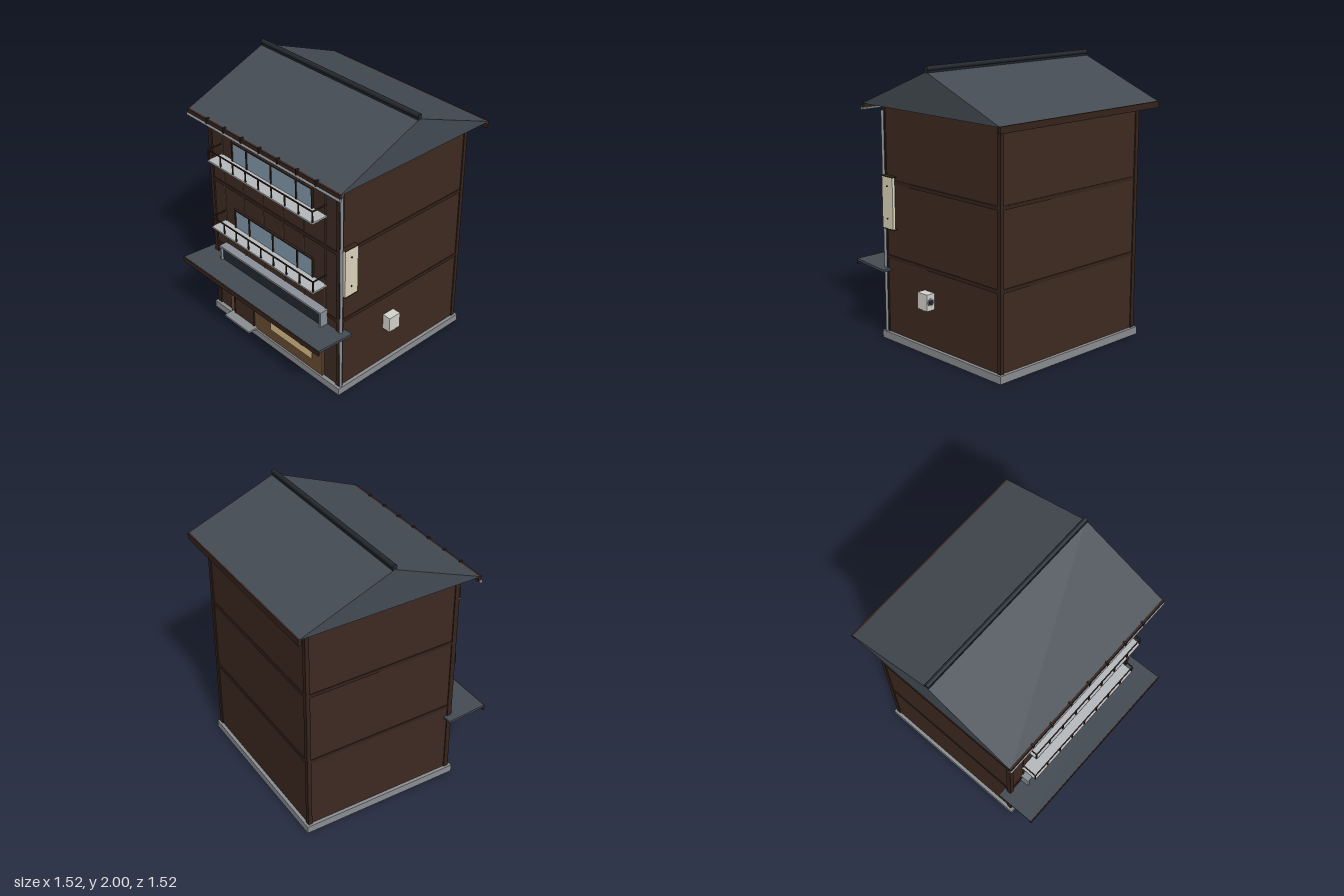
import * as THREE from 'three';

const mat = (color) => new THREE.MeshStandardMaterial({ color });
const M = {
  wall: mat(0x3e2a21), trim: mat(0x35231b), batten: mat(0x5a4030), panel: mat(0x664a30),
  slate: mat(0x444b53), dark: mat(0x23282e), stone: mat(0x8a8d90), metal: mat(0x8a9098),
  slab: mat(0xb4b8bc), glass: mat(0x8097a9), cream: mat(0xddd5bd), warm: mat(0xd8bd88),
  red: mat(0xb83226), black: mat(0x1c1a1a), white: mat(0xd4d2cc),
};

export function createModel() {
  const root = new THREE.Group();

  const add = (name, geo, material, parent = root) => {
    const m = new THREE.Mesh(geo, material);
    m.name = name;
    parent.add(m);
    return m;
  };
  // Box given by its extents on each axis
  const box = (name, material, [x0, x1], [y0, y1], [z0, z1], parent = root) => {
    const m = add(name, new THREE.BoxGeometry(x1 - x0, y1 - y0, z1 - z0), material, parent);
    m.position.set((x0 + x1) / 2, (y0 + y1) / 2, (z0 + z1) / 2);
    return m;
  };
  // Cylinder along an axis, centred on p
  const rod = (name, material, r, len, axis, p, parent = root, sides = 12) => {
    const m = add(name, new THREE.CylinderGeometry(r, r, len, sides), material, parent);
    if (axis === 'x') m.rotation.z = Math.PI / 2;
    if (axis === 'z') m.rotation.x = Math.PI / 2;
    m.position.set(...p);
    return m;
  };
  const group = (name) => {
    const g = new THREE.Group();
    g.name = name;
    root.add(g);
    return g;
  };

  // Plinth and main body
  box('plinth', M.stone, [-0.68, 0.68], [0, 0.055], [-0.68, 0.535]);
  box('body', M.wall, [-0.655, 0.655], [0.055, 1.69], [-0.655, 0.505]);

  // Corner posts and floor beams
  const frame = group('timberFrame');
  for (const s of [-1, 1]) {
    const x = s < 0 ? [-0.663, -0.63] : [0.63, 0.663];
    box('frontPost', M.trim, x, [0.055, 1.69], [0.48, 0.515], frame);
    box('backPost', M.trim, x, [0.055, 1.69], [-0.663, -0.633], frame);
  }
  for (const y of [0.597, 1.142]) {
    box('frontBeam', M.trim, [-0.63, 0.63], [y, y + 0.026], [0.5, 0.512], frame);
    box('backBeam', M.trim, [-0.63, 0.63], [y, y + 0.026], [-0.661, -0.65], frame);
    for (const s of [-1, 1]) {
      box('sideBeam', M.trim, s < 0 ? [-0.661, -0.65] : [0.65, 0.661], [y, y + 0.026], [-0.633, 0.48], frame);
    }
  }
  for (let i = 0; i < 6; i++) {
    const x = -0.518 + i * 0.207;
    box('batten', M.batten, [x - 0.004, x + 0.004], [0.62, 1.64], [0.5, 0.51], frame);
  }

  // Gabled roof, extruded along x from its end profile
  const gable = new THREE.Shape([
    new THREE.Vector2(-0.605, 1.69), new THREE.Vector2(0.76, 1.69), new THREE.Vector2(0.075, 1.963),
  ]);
  const roofGeo = new THREE.ExtrudeGeometry(gable, { depth: 1.51, bevelEnabled: false });
  roofGeo.rotateY(Math.PI / 2).translate(-0.755, 0, 0);
  add('roof', roofGeo, M.slate);
  rod('ridgePole', M.dark, 0.017, 1.51, 'x', [0, 1.983, -0.075]);
  box('ridgeCap', M.dark, [-0.755, 0.755], [1.953, 1.97], [-0.09, -0.06]);
  box('frontFascia', M.trim, [-0.755, 0.755], [1.66, 1.695], [0.585, 0.608]);
  box('backFascia', M.trim, [-0.755, 0.755], [1.65, 1.695], [-0.76, -0.737]);
  rod('gutter', M.metal, 0.012, 1.52, 'x', [0, 1.656, 0.604]);
  for (let i = -3; i <= 3; i++) {
    box('gutterBracket', M.trim, [i * 0.181 - 0.006, i * 0.181 + 0.006], [1.66, 1.705], [0.588, 0.614]);
  }
  rod('downpipe', M.metal, 0.011, 1.59, 'y', [0.664, 0.85, 0.502]);

  // Windows with balconies on the two upper floors
  for (const y of [0.765, 1.31]) {
    const win = group('window');
    box('glass', M.glass, [-0.4, 0.4], [y + 0.005, y + 0.235], [0.5, 0.513], win);
    for (const x of [-0.402, -0.25, 0, 0.25, 0.402]) {
      box('mullion', M.trim, [x - 0.005, x + 0.005], [y, y + 0.235], [0.505, 0.52], win);
    }
    for (const v of [0.005, 0.232]) {
      box('windowRail', M.trim, [-0.407, 0.407], [y + v - 0.005, y + v + 0.005], [0.505, 0.52], win);
    }
    box('sill', M.metal, [-0.417, 0.417], [y - 0.012, y - 0.002], [0.505, 0.532], win);

    const balcony = group('balcony');
    box('balconySlab', M.slab, [-0.53, 0.53], [y + 0.073, y + 0.085], [0.505, 0.63], balcony);
    box('handrail', M.trim, [-0.53, 0.53], [y + 0.162, y + 0.17], [0.62, 0.628], balcony);
    for (let i = -4; i <= 4; i++) {
      const x = i * 0.1315;
      box('railPost', M.trim, [x - 0.004, x + 0.004], [y + 0.085, y + 0.165], [0.62, 0.628], balcony);
    }
    for (const s of [-1, 1]) {
      box('sideRail', M.trim, [s * 0.526 - 0.004, s * 0.526 + 0.004], [y + 0.162, y + 0.17], [0.505, 0.624], balcony);
    }
  }

  // Blank shop board with frame and lamp strip
  const board = group('shopBoard');
  box('boardPanel', M.dark, [-0.52, 0.52], [0.47, 0.637], [0.505, 0.552], board);
  for (const y of [0.455, 0.637]) box('boardRail', M.metal, [-0.537, 0.537], [y, y + 0.015], [0.505, 0.57], board);
  for (const x of [-0.537, 0.522]) box('boardStile', M.metal, [x, x + 0.015], [0.455, 0.652], [0.505, 0.57], board);
  box('lampStrip', M.cream, [-0.45, 0.45], [0.627, 0.635], [0.55, 0.562], board);

  // Canopy rising slightly towards the street
  const canopy = group('canopy');
  const deck = box('canopyDeck', M.slate, [-0.723, 0.723], [-0.009, 0.009], [-0.15, 0.15], canopy);
  deck.rotation.x = -0.075;
  deck.position.set(0, 0.528, 0.607);
  box('canopyLip', M.trim, [-0.725, 0.725], [0.508, 0.547], [0.75, 0.762], canopy);

  // Shop front: wooden panel, door, lit window, step
  const shop = group('shopFront');
  box('shopPanel', M.panel, [-0.5, 0.5], [0.055, 0.44], [0.5, 0.522], shop);
  box('door', M.wall, [-0.445, -0.23], [0.06, 0.42], [0.515, 0.53], shop);
  for (const x of [-0.449, -0.236]) box('doorFrame', M.trim, [x, x + 0.01], [0.06, 0.43], [0.515, 0.534], shop);
  box('shopWindow', M.warm, [-0.04, 0.395], [0.145, 0.43], [0.515, 0.528], shop);
  box('doorStep', M.stone, [-0.48, -0.2], [0.055, 0.07], [0.5, 0.603], shop);

  // Hanging cloth in three strips
  const cloth = group('doorCurtain');
  rod('curtainRod', M.trim, 0.005, 0.84, 'x', [0, 0.478, 0.567], cloth, 8);
  for (let i = -1; i <= 1; i++) {
    box('curtainStrip', M.cream, [i * 0.267 - 0.131, i * 0.267 + 0.131], [0.38, 0.48], [0.564, 0.57], cloth);
  }

  // Lanterns: ribbed barrels with dark caps
  const ribs = [];
  for (let i = 0; i <= 10; i++) {
    ribs.push(new THREE.Vector2((i % 2 ? 0.035 : 0.032) - (i === 0 || i === 10 ? 0.006 : 0), -0.04 + i * 0.008));
  }
  for (const s of [-1, 1]) {
    const lantern = group('lantern');
    lantern.position.set(s * 0.44, 0.415, 0.633);
    add('lanternBody', new THREE.LatheGeometry(ribs, 12), M.red, lantern);
    for (const y of [-0.042, 0.042]) rod('lanternCap', M.black, 0.024, 0.01, 'y', [0, y, 0], lantern);
    rod('lanternCord', M.black, 0.003, 0.08, 'y', [0, 0.08, 0], lantern, 6);
  }

  // Blank upright side board with bolts
  const side = group('sideBoard');
  box('sidePanel', M.cream, [0.668, 0.69], [0.825, 1.192], [0.378, 0.492], side);
  for (const y of [0.82, 1.19]) box('sideBoardCap', M.trim, [0.655, 0.692], [y, y + 0.006], [0.376, 0.494], side);
  for (const y of [0.895, 1.125]) {
    rod('bolt', M.black, 0.006, 0.01, 'x', [0.69, y, 0.436], side, 8);
    box('sideBracket', M.black, [0.65, 0.67], [y - 0.006, y + 0.006], [0.43, 0.442], side);
  }

  // Wall unit with a round fan on its rear face
  const unit = group('wallUnit');
  box('unitCase', M.white, [0.655, 0.72], [0.335, 0.452], [-0.008, 0.092], unit);
  rod('fanRing', M.metal, 0.027, 0.008, 'z', [0.688, 0.395, -0.01], unit, 20);
  rod('fanHub', M.dark, 0.019, 0.01, 'z', [0.688, 0.395, -0.011], unit, 20);
  box('unitBracket', M.metal, [0.655, 0.715], [0.326, 0.336], [0.035, 0.049], unit);

  return root;
}
